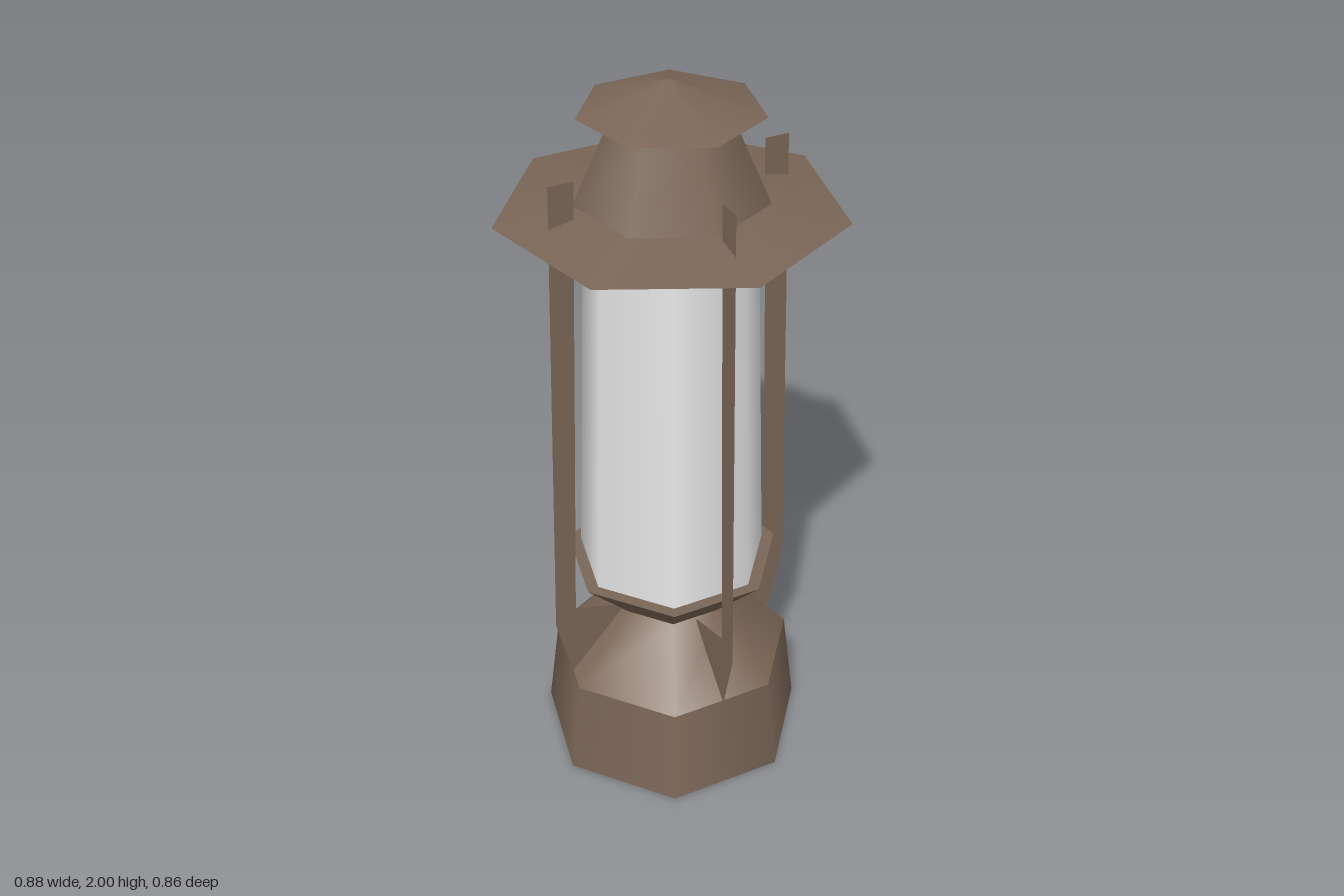
import * as THREE from 'three';

const SIDES = 7;

export function createModel() {
  const group = new THREE.Group();
  const bronze = new THREE.MeshStandardMaterial({ color: 0x7a6657, side: THREE.DoubleSide });
  bronze.name = 'bronze';
  const glass = new THREE.MeshStandardMaterial({ color: 0xf2f2f2, side: THREE.DoubleSide });
  glass.name = 'white glass';

  // seven-sided frustum between two heights; turn = PI points a corner to the back
  function frustum(name, y0, r0, y1, r1, material, turn = 0, open = true) {
    const geometry = new THREE.CylinderGeometry(r1, r0, y1 - y0, SIDES, 1, open, turn);
    const mesh = new THREE.Mesh(geometry, material);
    mesh.name = name;
    mesh.position.y = (y0 + y1) / 2;
    group.add(mesh);
  }

  // Lower body, corner to the back
  frustum('base', 0, 0.369, 0.275, 0.336, bronze, Math.PI, false);
  frustum('shoulder', 0.275, 0.336, 0.455, 0.157, bronze, Math.PI);
  frustum('bowl', 0.455, 0.157, 0.595, 0.295, bronze, Math.PI, false);
  frustum('lampGlass', 0.595, 0.26, 1.67, 0.226, glass, Math.PI);

  // Upper body, corner to the front
  frustum('brim', 1.66, 0.45, 1.695, 0.25, bronze);
  frustum('chimney', 1.695, 0.25, 1.895, 0.16, bronze);
  frustum('chimneyVent', 1.895, 0.16, 1.935, 0.142, glass);
  frustum('cap', 1.922, 0.236, 2, 0, bronze);

  // Four flat radial guard posts with bracket feet
  const profile = [
    [0.33, 1.79], [0.262, 1.79], [0.297, 0.495], [0.15, 0.455],
    [0.15, 0.44], [0.312, 0.275], [0.358, 0.455],
  ].map(([x, y]) => new THREE.Vector2(x, y));
  const postGeometry = new THREE.ShapeGeometry(new THREE.Shape(profile));
  for (let i = 0; i < 4; i++) {
    const post = new THREE.Mesh(postGeometry, bronze);
    post.name = 'guardPost';
    post.rotation.y = (i * Math.PI) / 2;
    group.add(post);
  }

  // Centre the seven-sided outline in depth
  group.children.forEach((part) => { part.position.z = -0.021; });
  return group;
}
